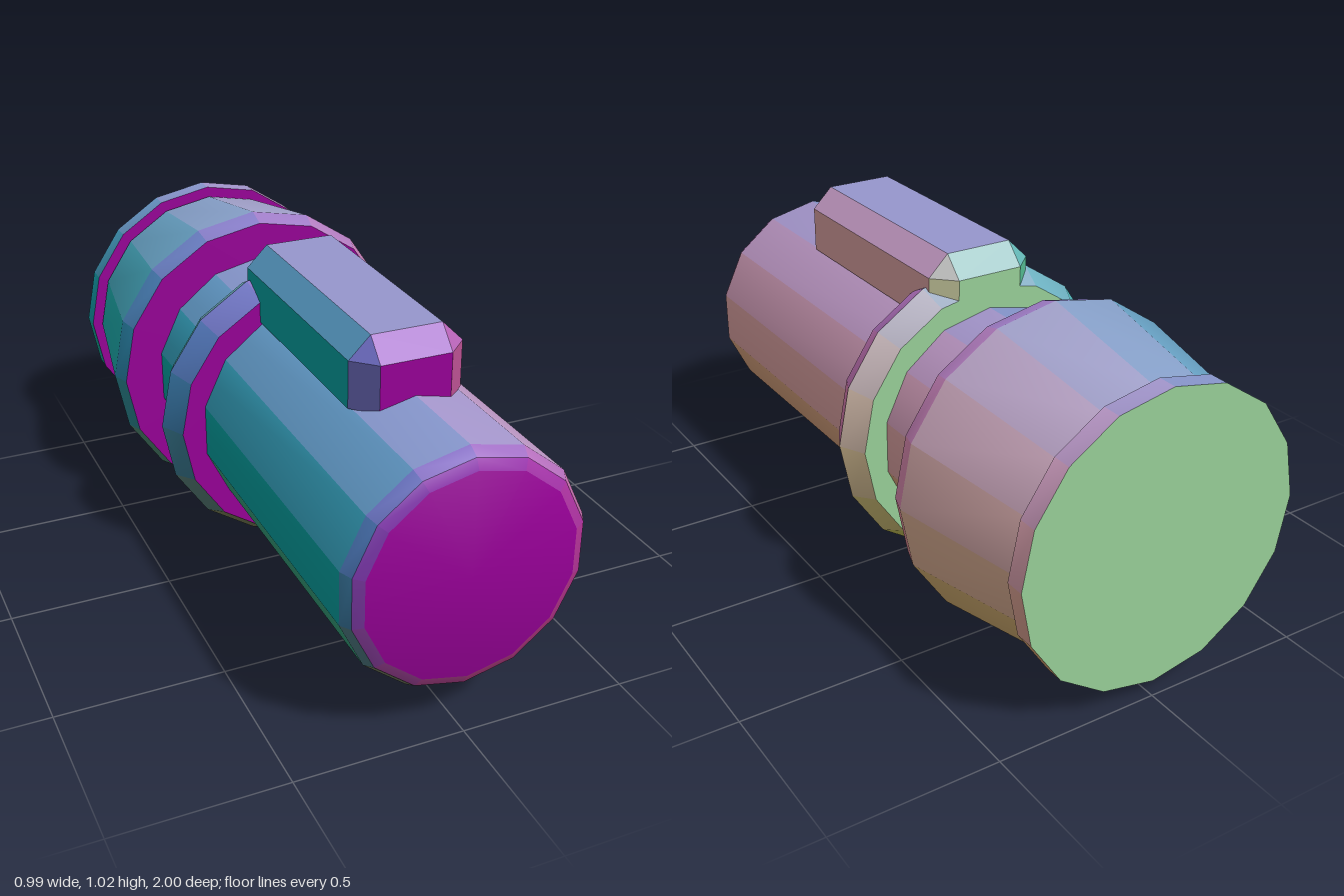
import * as THREE from 'three';
import { toCreasedNormals } from 'three/addons/utils/BufferGeometryUtils.js';
import { ConvexGeometry } from 'three/addons/geometries/ConvexGeometry.js';

const AXIS_Y = 0.498;

// One plain material per facing direction: red grows to +x, green to -z, blue to +y
const materials = [];
const materialIndex = new Map();
function facingMaterial(n) {
  const channel = (v) => 0.5 + 0.5 * v;
  const color = new THREE.Color(0xcccccc);
  color.multiply(new THREE.Color(channel(n.x), channel(-n.z), channel(n.y)));
  const key = color.getHex();
  if (!materialIndex.has(key)) {
    materialIndex.set(key, materials.length);
    materials.push(new THREE.MeshStandardMaterial({ color }));
  }
  return materialIndex.get(key);
}

// Assign every triangle the material of its own facing direction
function tintByFacing(geometry) {
  const position = geometry.attributes.position;
  const triangle = new THREE.Triangle();
  const normal = new THREE.Vector3();
  geometry.clearGroups();
  for (let i = 0; i < position.count; i += 3) {
    triangle.setFromAttributeAndIndices(position, i, i + 1, i + 2);
    geometry.addGroup(i, 3, facingMaterial(triangle.getNormal(normal)));
  }
  return geometry;
}

export function createModel() {
  const model = new THREE.Group();

  const add = (name, geometry) => {
    const mesh = new THREE.Mesh(tintByFacing(toCreasedNormals(geometry, 0.55)), materials);
    mesh.name = name;
    model.add(mesh);
    return mesh;
  };

  // Solid of revolution along z; profile is [radius, z] from back to front
  const turned = (name, sides, profile) => {
    const points = profile.map(([r, z]) => new THREE.Vector2(r, z));
    const geometry = new THREE.LatheGeometry(points, sides);
    geometry.rotateX(Math.PI / 2);
    add(name, geometry).position.y = AXIS_Y;
  };

  // Main shaft with a softened front edge
  turned('shaft', 14, [[0, -0.97], [0.36, -0.97], [0.36, 0.95], [0.341, 0.985], [0.311, 1], [0, 1]]);

  // Ridged ring around the middle
  turned('ring', 16, [[0.3, -0.18], [0.425, -0.18], [0.465, -0.1], [0.425, -0.02], [0.3, -0.02]]);

  // Tapered collar towards the back
  turned('collar', 16, [[0.3, -0.94], [0.395, -0.94], [0.415, -0.925], [0.495, -0.5], [0.475, -0.44], [0.3, -0.44]]);

  // Thin end disc
  turned('endDisc', 16, [[0, -1], [0.445, -1], [0.445, -0.94], [0, -0.94]]);

  // Chamfered key on top: octagonal sides closing to a rectangle
  const [inX, outX, front, back, bevel] = [0.105, 0.168, 0.66, -0.18, 0.062];
  const points = [];
  for (const sx of [-1, 1]) {
    for (const [zEnd, zIn] of [[front, front - bevel], [back, back + bevel]]) {
      for (const y of [0.825, 0.963]) {
        points.push(new THREE.Vector3(sx * inX, y, zEnd), new THREE.Vector3(sx * outX, y, zIn));
      }
      points.push(new THREE.Vector3(sx * inX, 1.026, zIn));
    }
  }
  add('key', new ConvexGeometry(points));

  return model;
}
